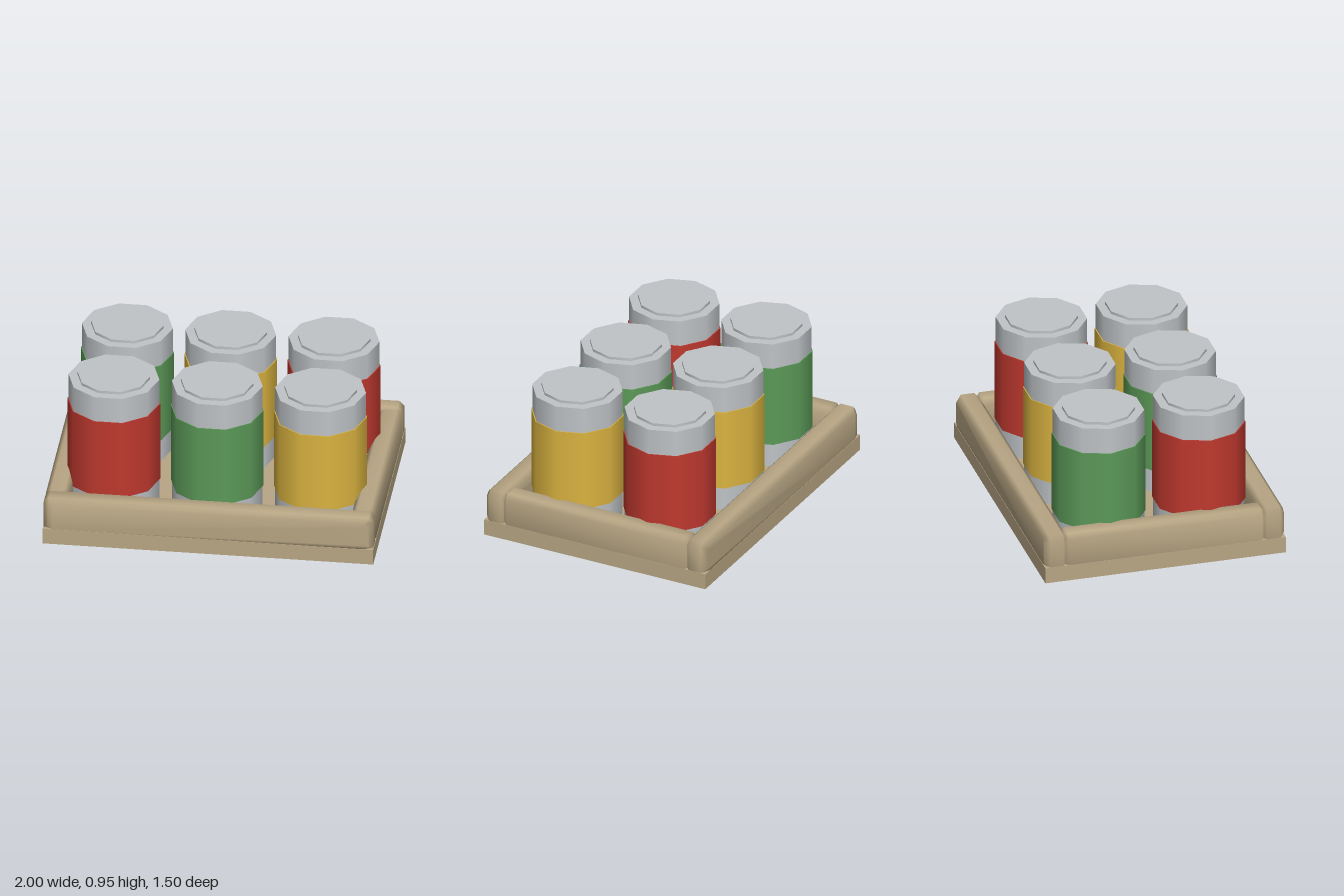
import * as THREE from 'three';
import { mergeVertices } from 'three/addons/utils/BufferGeometryUtils.js';

const material = (name, color) => {
  const m = new THREE.MeshStandardMaterial({ color });
  m.name = name;
  return m;
};

// Box with single 45-degree chamfers on every edge and smooth shading
function chamferBox(w, h, d, c) {
  const x = w / 2, y = h / 2;
  const i = c; // inset of the end faces, added back by the bevel
  const outline = [
    [-x + c, -y], [x - c, -y], [x, -y + c], [x, y - c],
    [x - c, y], [-x + c, y], [-x, y - c], [-x, -y + c],
  ].map(([px, py]) => new THREE.Vector2(px * (1 - i / x), py * (1 - i / y)));
  const ends = [[-d / 2, true], [-d / 2 + c, false], [d / 2 - c, false], [d / 2, true]];
  const full = [
    [-x + c, -y], [x - c, -y], [x, -y + c], [x, y - c],
    [x - c, y], [-x + c, y], [-x, y - c], [-x, -y + c],
  ];
  const pos = [], index = [], n = 8;
  for (const [z, small] of ends) {
    for (let k = 0; k < n; k++) {
      const p = small ? [outline[k].x, outline[k].y] : full[k];
      pos.push(p[0], p[1], z);
    }
  }
  for (let r = 0; r < 3; r++) {
    for (let k = 0; k < n; k++) {
      const a = r * n + k, b = r * n + (k + 1) % n;
      index.push(a, b, b + n, a, b + n, a + n);
    }
  }
  for (let k = 1; k < n - 1; k++) {
    index.push(0, k + 1, k);
    index.push(3 * n, 3 * n + k, 3 * n + k + 1);
  }
  const g = new THREE.BufferGeometry();
  g.setAttribute('position', new THREE.Float32BufferAttribute(pos, 3));
  g.setIndex(index);
  const merged = mergeVertices(g);
  merged.computeVertexNormals();
  return merged;
}

// Ten-sided drum between two heights, with corners on the x axis
function drum(radius, y0, y1) {
  const g = new THREE.CylinderGeometry(radius, radius, y1 - y0, 10, 1, false, Math.PI / 2);
  return g.translate(0, (y0 + y1) / 2, 0);
}

export function createModel() {
  const model = new THREE.Group();
  model.name = 'canTray';

  const wood = material('cardboard tan', 0xb8a684);
  const metal = material('can grey', 0xc0c4c7);
  const red = material('label red', 0xc0392f);
  const green = material('label green', 0x5c9a58);
  const yellow = material('label yellow', 0xdbb440);

  const add = (parent, name, geometry, mat, x = 0, y = 0, z = 0) => {
    const mesh = new THREE.Mesh(geometry, mat);
    mesh.name = name;
    mesh.position.set(x, y, z);
    parent.add(mesh);
    return mesh;
  };

  // Tray floor and its four chamfered rims
  const tray = new THREE.Group();
  tray.name = 'tray';
  model.add(tray);
  add(tray, 'trayBase', new THREE.BoxGeometry(2, 0.1, 1.5), wood, 0, 0.05, 0);
  const longRim = chamferBox(1.994, 0.23, 0.143, 0.03);
  const shortRim = chamferBox(0.143, 0.23, 1.265, 0.03);
  for (const s of [1, -1]) {
    add(tray, s > 0 ? 'frontRim' : 'backRim', longRim, wood, 0, 0.185, s * 0.676);
    add(tray, s > 0 ? 'leftRim' : 'rightRim', shortRim, wood, s * 0.926, 0.185, 0);
  }

  // Two rows of three cans
  const bodyGeo = drum(0.275, 0.1, 0.93);
  const labelGeo = drum(0.281, 0.25, 0.765);
  const lidGeo = drum(0.219, 0.92, 0.947);
  const rows = [
    { z: 0.3125, labels: [red, green, yellow] },
    { z: -0.3125, labels: [green, yellow, red] },
  ];
  for (const { z, labels } of rows) {
    labels.forEach((label, i) => {
      const can = new THREE.Group();
      can.name = 'can';
      can.position.set((i - 1) * 0.625, 0, z);
      add(can, 'canBody', bodyGeo, metal);
      add(can, 'canLabel', labelGeo, label);
      add(can, 'canLid', lidGeo, metal);
      model.add(can);
    });
  }
  return model;
}
